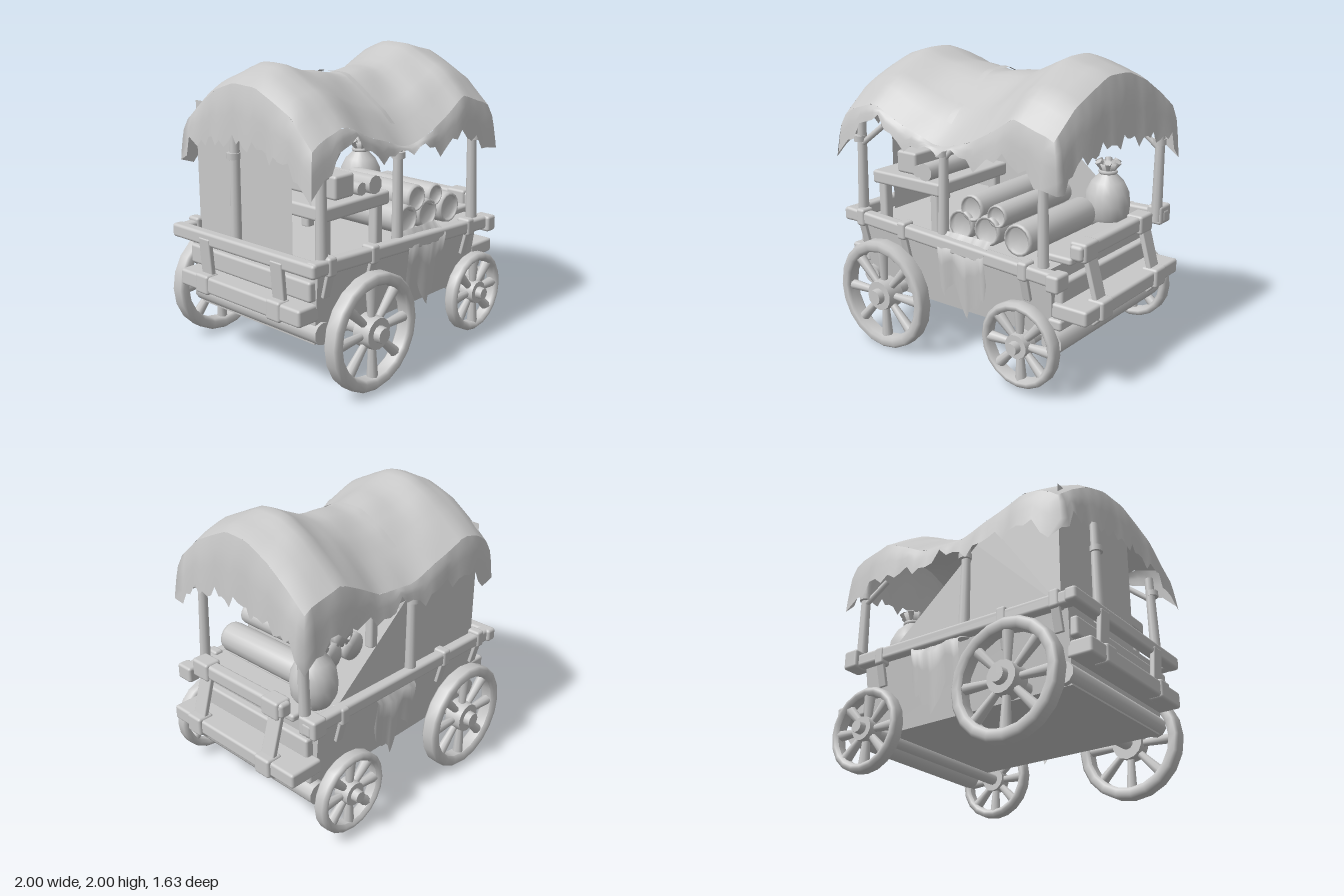
import * as THREE from 'three';
import { RoundedBoxGeometry } from 'three/addons/geometries/RoundedBoxGeometry.js';

const V = (x, y, z) => new THREE.Vector3(x, y, z);

export function createModel() {
  const wagon = new THREE.Group();
  wagon.name = 'coveredWagon';
  const clay = new THREE.MeshStandardMaterial({ color: 0xc8c8c8, side: THREE.DoubleSide });
  clay.name = 'pale grey';

  const add = (name, geo, parent = wagon) => {
    const m = new THREE.Mesh(geo, clay);
    m.name = name;
    parent.add(m);
    return m;
  };
  const box = (name, w, h, d, x, y, z, r = 0.018) => {
    const m = add(name, new RoundedBoxGeometry(w, h, d, 2, r));
    m.position.set(x, y, z);
    return m;
  };
  // round bar between two points
  const bar = (name, a, b, r1, r2 = r1, parent = wagon, sides = 10) => {
    const m = add(name, new THREE.CylinderGeometry(r2, r1, a.distanceTo(b), sides), parent);
    m.position.copy(a).lerp(b, 0.5);
    m.quaternion.setFromUnitVectors(V(0, 1, 0), b.clone().sub(a).normalize());
    return m;
  };
  // squared timber between two points
  const beam = (name, a, b, w, h) => {
    const m = add(name, new RoundedBoxGeometry(w, h, a.distanceTo(b), 2, Math.min(w, h) * 0.25));
    m.position.copy(a).lerp(b, 0.5);
    m.lookAt(b);
    return m;
  };
  // surface from a grid of points
  const sheet = (name, rows, cols, fn) => {
    const pos = [], idx = [];
    for (let i = 0; i <= rows; i++) for (let j = 0; j <= cols; j++) pos.push(...fn(i / rows, j / cols, j));
    for (let i = 0; i < rows; i++) for (let j = 0; j < cols; j++) {
      const a = i * (cols + 1) + j, b = a + cols + 1;
      idx.push(a, a + 1, b, a + 1, b + 1, b);
    }
    const g = new THREE.BufferGeometry();
    g.setAttribute('position', new THREE.Float32BufferAttribute(pos, 3));
    g.setIndex(idx);
    g.computeVertexNormals();
    return add(name, g);
  };
  const lathe = (name, pts, sides, parent) => add(name, new THREE.LatheGeometry(pts.map(p => new THREE.Vector2(...p)), sides), parent);
  const interp = (pts, x) => {
    if (x <= pts[0][0]) return pts[0][1];
    for (let i = 1; i < pts.length; i++) if (x <= pts[i][0]) {
      const [x0, y0] = pts[i - 1], [x1, y1] = pts[i];
      return y0 + (y1 - y0) * (x - x0) / (x1 - x0);
    }
    return pts[pts.length - 1][1];
  };

  // wheels
  const wheel = (name, x, y, z, R, w, hubR) => {
    const g = new THREE.Group();
    g.name = name;
    const t = R * 0.2, h = w / 2, c = 0.018;
    lathe('rim', [[R - t, -h + c], [R - t + c, -h], [R - c, -h], [R, -h + c], [R, h - c], [R - c, h], [R - t + c, h], [R - t, h - c], [R - t, -h + c]], 20, g).rotation.x = Math.PI / 2;
    for (let i = 0; i < 8; i++) {
      const a = i * Math.PI / 4 + 0.03;
      const d = V(Math.cos(a), Math.sin(a), 0);
      bar('spoke', d.clone().multiplyScalar(hubR * 0.7), d.clone().multiplyScalar(R - t * 0.8), 0.023, 0.037, g, 8);
    }
    const s = Math.sign(z);
    bar('hub', V(0, 0, -s * h), V(0, 0, s * (h + 0.005)), hubR, hubR * 0.92, g, 14);
    bar('hubCap', V(0, 0, 0), V(0, 0, s * (h + 0.05)), hubR * 0.55, hubR * 0.45, g, 12);
    g.position.set(x, y, z);
    wagon.add(g);
  };
  wheel('rearWheel', -0.527, 0.373, 0.705, 0.376, 0.11, 0.11);
  wheel('rearWheel', -0.527, 0.373, -0.72, 0.376, 0.11, 0.11);
  wheel('frontWheel', 0.583, 0.312, 0.67, 0.278, 0.09, 0.085);
  wheel('frontWheel', 0.583, 0.312, -0.69, 0.278, 0.095, 0.085);
  bar('rearAxle', V(-0.527, 0.373, -0.7), V(-0.527, 0.373, 0.7), 0.045);
  bar('frontAxle', V(0.583, 0.31, -0.7), V(0.583, 0.31, 0.7), 0.04);

  // wagon body with outward leaning sides
  const body = new THREE.BoxGeometry(1.6, 0.48, 1.16);
  const bp = body.attributes.position;
  for (let i = 0; i < bp.count; i++) if (bp.getY(i) < 0) bp.setXYZ(i, bp.getX(i) * 0.97, bp.getY(i), bp.getZ(i) * 0.9);
  body.computeVertexNormals();
  add('body', body).position.set(-0.06, 0.57, 0);

  // rails around the bed
  beam('frontRail', V(-0.95, 0.845, 0.6), V(0.84, 0.755, 0.6), 0.08, 0.09);
  beam('backRail', V(-0.92, 0.83, -0.6), V(0.87, 0.86, -0.6), 0.08, 0.09);
  box('railEnd', 0.11, 0.13, 0.14, 0.81, 0.87, -0.6);
  box('railEnd', 0.09, 0.11, 0.13, 0.8, 0.75, 0.6);
  beam('rearRail', V(-0.92, 0.83, -0.66), V(-0.92, 0.84, 0.64), 0.08, 0.09);

  // rear and front steps with hanging straps
  box('rearBoard', 0.17, 0.11, 1.1, -0.905, 0.54, 0);
  box('rearPlank', 0.08, 0.13, 1.1, -0.86, 0.68, 0);
  box('footBoard', 0.25, 0.1, 1.14, 0.85, 0.53, -0.02);
  box('footBoardSupport', 0.1, 0.07, 1.14, 0.76, 0.45, 0);
  beam('dashBoard', V(0.75, 0.635, -0.52), V(0.75, 0.635, 0.52), 0.07, 0.14);
  bar('frontCrossLog', V(0.765, 0.345, -0.6), V(0.765, 0.345, 0.6), 0.075);
  bar('rearCrossLog', V(-0.8, 0.4, -0.56), V(-0.8, 0.4, 0.56), 0.07);
  beam('seatBar', V(0.83, 0.893, -0.4), V(0.83, 0.888, 0.46), 0.09, 0.1);
  box('seat', 0.26, 0.05, 0.9, 0.68, 0.83, 0.02);
  for (const z of [-0.33, 0.33]) {
    box('seatBlock', 0.12, 0.125, 0.15, 0.83, 0.888, z + 0.03);
    beam('seatStrap', V(0.85, 0.85, z), V(0.93, 0.57, z), 0.11, 0.035);
    box('stepStrap', 0.12, 0.13, 0.13, 0.935, 0.53, z);
    beam('strapHook', V(0.97, 0.5, z), V(0.89, 0.42, z), 0.07, 0.045);
    box('rearStrap', 0.1, 0.13, 0.12, -0.95, 0.54, z);
    beam('rearStrapUpper', V(-0.95, 0.84, z), V(-0.93, 0.58, z), 0.1, 0.035);
  }
  for (const s of [-1, 1]) for (const x of [-0.8, -0.42, 0.57]) {
    const y = s > 0 ? 0.82 - (x + 0.42) * 0.05 : 0.84;
    box('railStrap', 0.07, 0.12, 0.1, x, y, s * 0.6);
    beam('strapTail', V(x, y, s * 0.63), V(x, y - 0.2, s * 0.58), 0.06, 0.025);
  }

  // ragged cloths over the rails
  const rag = [[0, 0.5], [0.08, 0.44], [0.14, 0.5], [0.3, 0.55], [0.42, 0.43], [0.58, 0.33], [0.64, 0.42], [0.78, 0.41], [0.88, 0.5], [0.94, 0.46], [1, 0.6]];
  for (const s of [-1, 1]) sheet('raggedCloth', 4, 24, (u, v) => {
    const top = 0.87, low = interp(rag, v);
    return [-0.1 + 0.38 * v, top - (top - low) * u, s * (u === 0 ? 0.56 : 0.655 - 0.04 * u + 0.006 * Math.sin(v * 14))];
  });

  // posts and braces under the cover
  const posts = [[-0.83, 0.86, 0.58, -0.82, 1.5], [-0.12, 0.82, 0.56, -0.11, 1.46], [0.68, 0.78, 0.57, 0.66, 1.53],
    [0.82, 0.88, -0.55, 0.83, 1.56], [-0.1, 0.84, -0.59, -0.1, 1.45], [-0.83, 0.84, -0.17, -0.82, 1.6]];
  for (const [x, y, z, tx, ty] of posts) {
    bar('post', V(x, y - 0.05, z), V(tx, ty, z * 0.98), 0.038, 0.03);
    bar('postBinding', V(x, 1.36, z), V(x, 1.4, z), 0.044);
  }
  for (const [x, z, d] of [[-0.83, 0.58, 0.18], [-0.12, 0.56, 0.13], [0.68, 0.57, -0.1], [0.82, -0.55, -0.16]])
    bar('brace', V(x, 1.33, z), V(x + d, 1.48, z * 0.93), 0.02);

  // canvas walls at the rear corner
  const wall = new THREE.Shape([[-0.8, 0.82], [0.62, 0.82], [-0.17, 1.46], [-0.3, 1.54], [-0.8, 1.6]].map(p => new THREE.Vector2(...p)));
  add('sideWall', new THREE.ShapeGeometry(wall)).position.z = -0.56;
  const rear = add('rearWall', new THREE.PlaneGeometry(0.87, 0.86));
  rear.rotation.y = -Math.PI / 2;
  rear.position.set(-0.8, 1.25, -0.125);

  // cover sagging between two hoops
  const ridge = [[-0.9, 1.825], [-0.8, 1.9], [-0.62, 1.95], [-0.4, 1.88], [-0.1, 1.835], [0.2, 1.855], [0.4, 1.93], [0.53, 1.995], [0.79, 1.92], [0.83, 1.89]];
  const arch = [[-1, 0.28], [-0.75, 0.165], [-0.48, 0.065], [-0.17, 0], [0.17, 0], [0.4, 0.058], [0.69, 0.14], [1, 0.31]];
  const top = (x, t) => {
    const dip = t > 0 ? 0.085 : 0.05;
    const sag = Math.exp(-Math.pow((x + 0.02) / 0.33, 2)) * dip * THREE.MathUtils.smoothstep(Math.abs(t), 0.05, 0.75);
    return V(x - 0.05 * t, interp(ridge, x) - interp(arch, t) - sag + 0.005 * Math.sin(x * 17 + t * 5), 0.61 * t);
  };
  const X0 = -0.88, X1 = 0.82;
  sheet('coverTop', 28, 20, (u, v) => top(X0 + (X1 - X0) * u, v * 2 - 1).toArray());

  // hanging skirt with a torn hem
  const hemFront = [[-0.88, 1.25], [-0.78, 1.4], [-0.68, 1.54], [-0.58, 1.55], [-0.35, 1.43], [-0.25, 1.37], [-0.12, 1.44], [0.1, 1.43], [0.22, 1.35], [0.32, 1.4], [0.5, 1.44], [0.66, 1.39], [0.75, 1.27], [0.85, 1.29]];
  const hemBack = [[-0.88, 1.18], [-0.8, 1.32], [-0.68, 1.4], [-0.4, 1.42], [-0.25, 1.37], [0.04, 1.43], [0.22, 1.37], [0.45, 1.43], [0.65, 1.4], [0.82, 1.3]];
  const hemEnd = [[-1, 1.28], [-0.85, 1.43], [-0.3, 1.48], [0, 1.5], [0.4, 1.47], [0.78, 1.41], [1, 1.27]];
  const N = 120;
  sheet('coverSkirt', 4, N, (u, v, j) => {
    const k = (j % N) / N * 4, side = Math.floor(k), f = k - side;
    let x, t, ox = 0, oz = 0, hem;
    if (side % 2 === 0) {
      t = side === 0 ? 1 : -1;
      x = side === 0 ? X0 + (X1 - X0) * f : X1 - (X1 - X0) * f;
      hem = interp(side === 0 ? hemFront : hemBack, x);
      oz = t;
      ox = f < 0.02 ? (side === 0 ? -1 : 1) : 0;
    } else {
      t = side === 1 ? 1 - 2 * f : -1 + 2 * f;
      x = side === 1 ? X1 : X0;
      hem = interp(hemEnd, t);
      ox = side === 1 ? 1 : -1;
      oz = f < 0.02 ? t : 0;
    }
    const p = top(x, t);
    const tear = 0.03 * Math.sin(j * 2.4) + 0.022 * Math.sin(j * 1.1 + 1);
    const out = Math.sqrt(u) * 0.038 + 0.006 * u * Math.sin(j * 0.9);
    return [p.x + ox * out * 1.25, p.y + (Math.min(hem + tear, p.y - 0.02) - p.y) * u, p.z + oz * out];
  });

  // strap across the cover
  sheet('coverStrap', 24, 1, (u, v) => {
    const p = top(-0.13 + 0.045 * v, -0.68 + 1.5 * u);
    return [p.x + 0.04 * p.z / 0.5, p.y + 0.015, p.z];
  });

  // table with a chest and bundles
  box('tableTop', 0.6, 0.09, 0.72, -0.47, 1.115, 0.18);
  for (const x of [-0.71, -0.24]) for (const z of [-0.12, 0.48]) box('tableLeg', 0.07, 0.28, 0.07, x, 0.94, z);
  box('chest', 0.17, 0.15, 0.55, -0.515, 1.235, 0.2);
  bar('bundle', V(-0.3, 1.215, 0.03), V(-0.3, 1.215, 0.53), 0.06);
  bar('smallBundle', V(-0.39, 1.2, 0.05), V(-0.39, 1.2, 0.5), 0.042);

  // rolls of cloth, with hollow ends
  for (const [x, y, r] of [[0.01, 0.925, 0.1], [0.22, 0.925, 0.1], [0.1, 1.05, 0.09], [0.3, 1.035, 0.075], [0.46, 0.915, 0.105]]) {
    const L = 0.36;
    const m = lathe('clothRoll', [[0, -L], [r, -L], [r, L - 0.02], [r * 0.95, L], [r * 0.8, L], [r * 0.76, L - 0.03], [0, L - 0.03]], 16);
    m.rotation.x = Math.PI / 2;
    m.position.set(x, y, 0.18);
  }

  // tied sack
  lathe('sack', [[0, 0], [0.11, 0], [0.148, 0.07], [0.155, 0.15], [0.145, 0.23], [0.11, 0.3], [0.06, 0.35], [0.05, 0.38], [0.08, 0.43], [0, 0.4]], 18).position.set(0.55, 0.81, -0.35);
  const tie = add('sackTie', new THREE.TorusGeometry(0.053, 0.014, 6, 14));
  tie.rotation.x = Math.PI / 2;
  tie.position.set(0.55, 1.175, -0.35);
  for (let i = 0; i < 6; i++) {
    const a = i * Math.PI / 3, c = Math.cos(a), s = Math.sin(a);
    bar('sackRuffle', V(0.55 + 0.03 * c, 1.18, -0.35 + 0.03 * s), V(0.55 + 0.075 * c, 1.25, -0.35 + 0.075 * s), 0.015, 0.026, wagon, 6);
  }
  return wagon;
}
